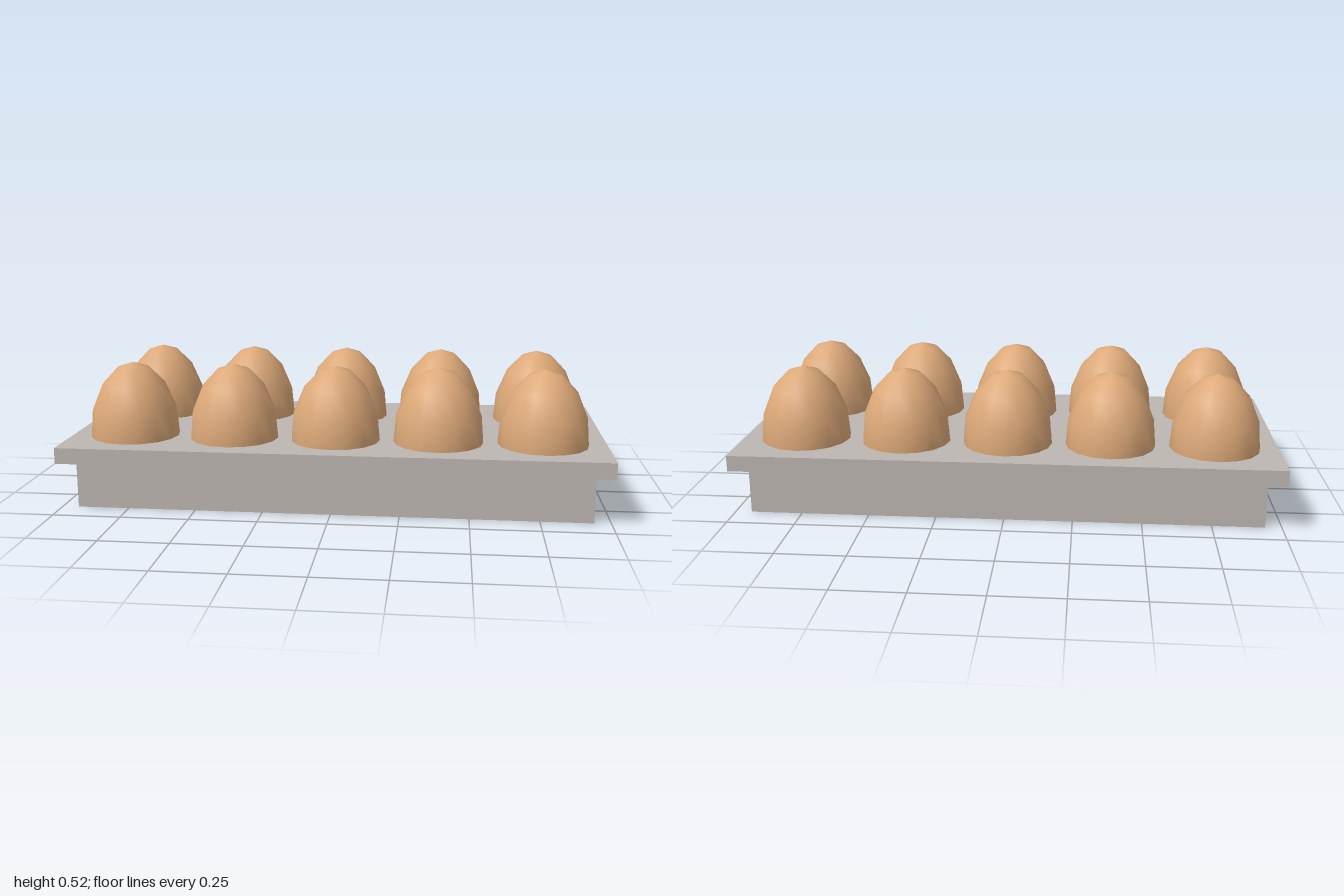
import * as THREE from 'three';

export function createModel() {
  const model = new THREE.Group();
  model.name = 'eggTray';

  const cardboard = new THREE.MeshStandardMaterial({ color: 0xbdb7b2 });
  cardboard.name = 'grey cardboard';
  const shell = new THREE.MeshStandardMaterial({ color: 0xdca878 });
  shell.name = 'brown eggshell';

  function slab(name, width, depth, bottom, top) {
    const mesh = new THREE.Mesh(new THREE.BoxGeometry(width, top - bottom, depth), cardboard);
    mesh.name = name;
    mesh.position.y = (bottom + top) / 2;
    model.add(mesh);
  }

  // Tray body with a wider rim on top
  slab('trayBase', 1.88, 0.79, 0, 0.178);
  slab('trayRim', 2, 0.9, 0.178, 0.237);

  // Egg profile from the blunt end (inside the tray) to the tip
  const profile = [
    [0, 0.02], [0.06, 0.035], [0.115, 0.08], [0.152, 0.15], [0.166, 0.237],
    [0.157, 0.34], [0.117, 0.436], [0.058, 0.498], [0, 0.516],
  ].map(([r, y]) => new THREE.Vector2(r, y));
  const eggGeometry = new THREE.LatheGeometry(profile, 16);

  // Two rows of five eggs
  const eggs = new THREE.Group();
  eggs.name = 'eggs';
  for (const row of [-1, 1]) {
    for (let i = -2; i <= 2; i++) {
      const egg = new THREE.Mesh(eggGeometry, shell);
      egg.name = 'egg';
      egg.position.set(i * 0.383, 0, row * 0.21);
      eggs.add(egg);
    }
  }
  model.add(eggs);
  return model;
}
